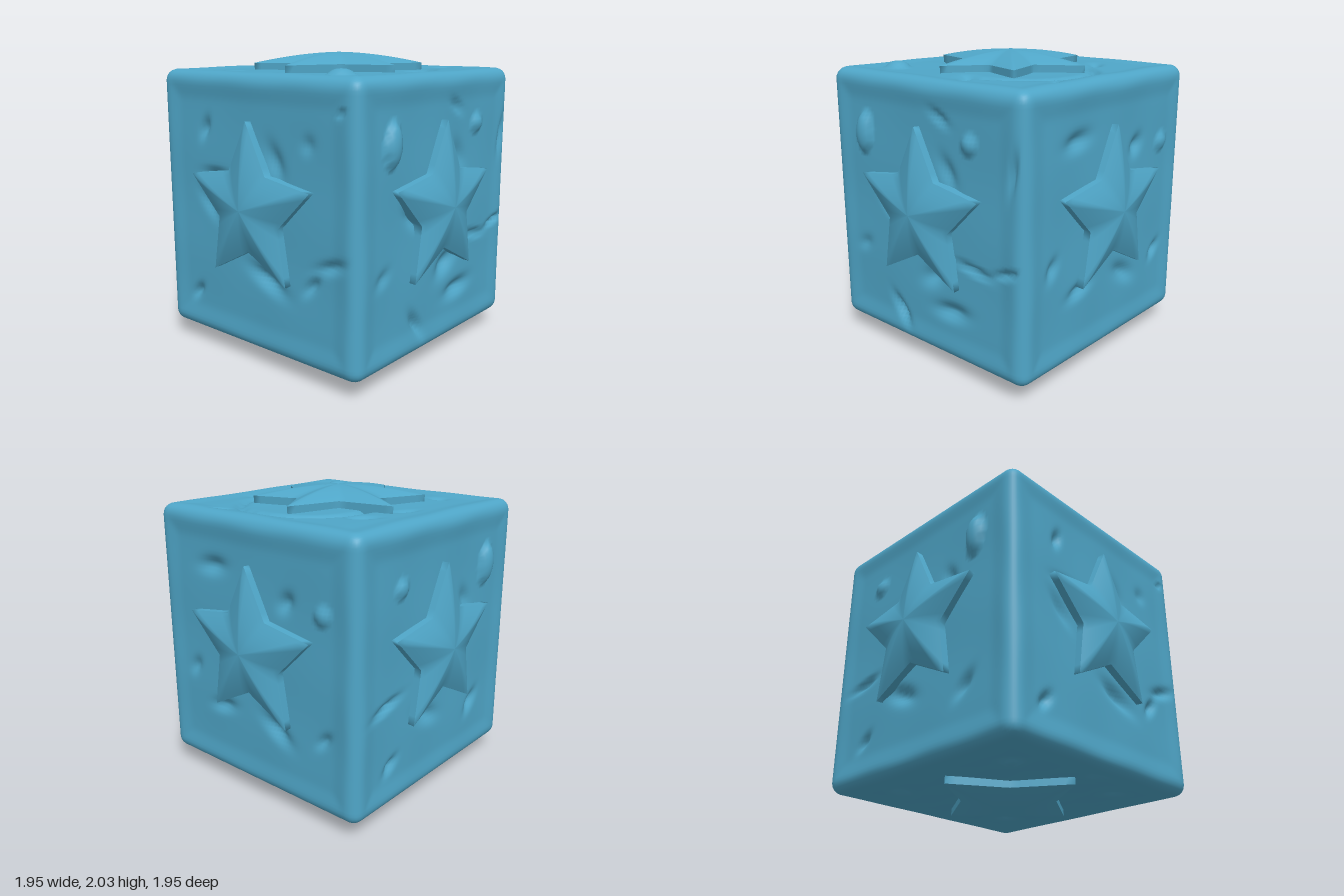
import * as THREE from 'three';
import { mergeVertices } from 'three/addons/utils/BufferGeometryUtils.js';

const HALF = new THREE.Vector3(0.862, 0.905, 0.862); // half size of the block
const CENTRE_Y = 0.985;
const ROUND = 0.08;

const polar = (r, a) => [r * Math.cos(a), r * Math.sin(a)];

// Outline of a regular star, tips and notches alternating anticlockwise
function starOutline(points, outer, inner, turn = Math.PI / 2) {
  return Array.from({ length: points * 2 }, (_, i) =>
    polar(i % 2 ? inner : outer, turn + (i * Math.PI) / points));
}

const fiveStar = starOutline(5, 0.555, 0.28);
const sixStar = [[-0.07, 0.58], [-0.18, 0.21], [-0.57, 0.15], [-0.31, -0.06], [-0.44, -0.39], [-0.16, -0.27],
  [0.06, -0.6], [0.18, -0.2], [0.56, -0.11], [0.31, 0.09], [0.42, 0.4], [0.11, 0.3]];
const fourStar = starOutline(4, 0.575, 0.32);

// Dents and bumps: [u, v, half length, half width, angle, height]
const frontMarks = [[-0.44, 0.53, 0.08, 0.04, 1.2, -0.04], [-0.58, -0.63, 0.08, 0.04, 0.8, -0.04],
  [0.65, -0.21, 0.14, 0.04, 0.3, -0.035], [0.5, -0.36, 0.09, 0.04, 0.8, -0.04], [0.12, -0.4, 0.18, 0.06, -0.4, -0.05],
  [0.2, 0.37, 0.14, 0.07, -1.1, -0.035], [-0.35, 0.23, 0.14, 0.04, 0, -0.04], [0.74, 0.7, 0.03, 0.02, 0, -0.03],
  [-0.42, 0.02, 0.14, 0.05, -0.8, -0.03], [0.48, 0.5, 0.06, 0.06, 0, -0.02]];
const rightMarks = [[-0.53, 0.5, 0.14, 0.075, 1.5, 0.055], [0.43, 0.55, 0.06, 0.06, 0, 0.035],
  [0.45, -0.23, 0.16, 0.025, -0.15, -0.04], [0.74, -0.18, 0.14, 0.025, 0.3, -0.04], [0.1, -0.36, 0.13, 0.07, 0.5, -0.05],
  [0.25, -0.57, 0.16, 0.06, 0.1, -0.05], [-0.24, -0.7, 0.13, 0.04, -0.9, -0.05], [0.18, 0.68, 0.1, 0.03, -0.5, -0.03],
  [-0.32, 0.02, 0.12, 0.05, -0.7, -0.03], [0.78, 0.45, 0.16, 0.03, 1.4, -0.04], [0.24, 0.35, 0.13, 0.06, -1, -0.03],
  [-0.6, -0.3, 0.08, 0.05, 0.5, -0.02]];
const topMarks = [[0.51, -0.58, 0.09, 0.08, 1.3, 0.045], [-0.44, -0.56, 0.06, 0.05, 0.5, -0.035],
  [-0.5, 0.36, 0.1, 0.05, 0.6, -0.035], [0.6, 0.15, 0.08, 0.05, 0.7, -0.04], [0.1, -0.45, 0.13, 0.05, 1.2, -0.05],
  [0.25, -0.3, 0.1, 0.05, 0.3, -0.04], [-0.55, 0, 0.1, 0.04, 1.2, -0.025], [0.4, 0.71, 0.06, 0.02, 0.4, -0.03]];
// Double trough sweeping round the back of the top star
for (let i = 0; i <= 12; i++) {
  const a = (i / 12) * 3.3 - 0.1;
  const [x, y] = polar(0.46, a);
  topMarks.push([0.08 + x, 0.2 + y, 0.09, 0.035, a + Math.PI / 2, -0.03]);
}
const backMarks = [[-0.35, 0.55, 0.14, 0.06, 0.1, -0.04], [0.3, 0.42, 0.08, 0.06, 0.8, -0.04],
  [0.2, -0.45, 0.15, 0.06, -0.5, -0.045], [-0.3, -0.42, 0.13, 0.05, 0.2, -0.04], [0.6, -0.4, 0.08, 0.04, 0.8, -0.035],
  [0.6, 0.4, 0.06, 0.06, 0, 0.03], [-0.58, -0.2, 0.08, 0.05, 1, -0.03]];
const leftMarks = [[0.53, 0.5, 0.14, 0.075, 1.5, 0.055], [-0.43, 0.52, 0.06, 0.06, 0, 0.03],
  [-0.55, -0.2, 0.15, 0.03, 0.2, -0.04], [-0.12, -0.4, 0.15, 0.06, -0.4, -0.045], [0.45, -0.5, 0.1, 0.05, 0.8, -0.04],
  [-0.5, -0.62, 0.08, 0.04, 0.6, -0.035], [0.3, 0.3, 0.1, 0.05, -1, -0.03]];
const bottomMarks = [[0.5, 0.5, 0.07, 0.05, 0.7, -0.035], [-0.5, 0.5, 0.07, 0.06, 0, 0.03],
  [-0.52, -0.5, 0.08, 0.05, -0.6, -0.035], [0.5, -0.5, 0.08, 0.05, 0.4, -0.035], [0.1, 0.66, 0.08, 0.04, 0, -0.03]];

// Each side of the block: u runs right and v up when seen from outside
const vec = (x, y, z) => new THREE.Vector3(x, y, z);
const sides = [
  { name: 'front', u: vec(1, 0, 0), v: vec(0, 1, 0), star: fiveStar, lift: 0.055, marks: frontMarks },
  { name: 'back', u: vec(-1, 0, 0), v: vec(0, 1, 0), star: fiveStar, lift: 0.055, marks: backMarks },
  { name: 'left', u: vec(0, 0, -1), v: vec(0, 1, 0), star: fiveStar, lift: 0.055, marks: rightMarks },
  { name: 'right', u: vec(0, 0, 1), v: vec(0, 1, 0), star: fiveStar, lift: 0.055, marks: leftMarks },
  { name: 'top', u: vec(1, 0, 0), v: vec(0, 0, -1), star: sixStar, lift: 0, marks: topMarks },
  { name: 'bottom', u: vec(1, 0, 0), v: vec(0, 0, 1), star: fourStar, lift: 0, marks: bottomMarks },
];
for (const s of sides) {
  s.n = s.u.clone().cross(s.v);
  s.depth = Math.abs(s.n.dot(HALF));
}

// Surface offset of a side at (u, v): recessed panel plus dents and bumps
function relief(side, u, v) {
  const edge = Math.min(Math.abs(side.u.dot(HALF)) - Math.abs(u), Math.abs(side.v.dot(HALF)) - Math.abs(v));
  let h = -0.012 * THREE.MathUtils.smoothstep(edge, 0.07, 0.2);
  h += 0.004 * Math.sin(7 * u + 3 * v + side.depth * 9) * Math.sin(6 * v - 4 * u);
  for (const [mu, mv, len, wid, angle, height] of side.marks) {
    const c = Math.cos(angle), s = Math.sin(angle), du = u - mu, dv = v - mv;
    const a = (du * c + dv * s) / len, b = (dv * c - du * s) / wid;
    const d = a * a + b * b;
    h += height * (height > 0 ? Math.sqrt(Math.max(0, 1 - d)) : Math.exp(-1.6 * d));
  }
  return Math.max(h, -0.06) * THREE.MathUtils.smoothstep(edge, 0.02, 0.1);
}

// Rounded block with weathered sides
function blockGeometry() {
  let geo = new THREE.BoxGeometry(HALF.x * 2, HALF.y * 2, HALF.z * 2, 72, 72, 72);
  geo.deleteAttribute('uv');
  geo.deleteAttribute('normal');
  geo = mergeVertices(geo, 1e-4);
  const pos = geo.attributes.position;
  const p = new THREE.Vector3(), core = new THREE.Vector3();
  const lo = HALF.clone().negate().addScalar(ROUND), hi = HALF.clone().subScalar(ROUND);
  for (let i = 0; i < pos.count; i++) {
    p.fromBufferAttribute(pos, i);
    const side = sides.find((s) => p.dot(s.n) > s.depth - 1e-4);
    const h = relief(side, p.dot(side.u), p.dot(side.v));
    core.copy(p).clamp(lo, hi);
    p.sub(core).setLength(ROUND).add(core).addScaledVector(side.n, h);
    pos.setXYZ(i, p.x, p.y, p.z);
  }
  geo.computeVertexNormals();
  return geo;
}

// Domed star: rings from the centre to the outline, then a steep side wall
function starGeometry(outline) {
  const STEPS = 6, RINGS = 10, rim = [];
  outline.forEach(([x, y], i) => {
    const [nx, ny] = outline[(i + 1) % outline.length];
    for (let k = 0; k < STEPS; k++) {
      rim.push([x + ((nx - x) * k) / STEPS, y + ((ny - y) * k) / STEPS]);
    }
  });
  const pos = [], index = [], n = rim.length;
  const addRing = (t, h) => rim.forEach(([x, y]) => pos.push(x * t, y * t, h));
  for (let r = 0; r <= RINGS; r++) {
    const t = r / RINGS;
    addRing(Math.max(t, 0.001), 0.036 + 0.075 * (1 - Math.pow(t, 1.7)));
  }
  addRing(1, 0.036); // repeated rim keeps the edge sharp
  addRing(0.99, -0.07);
  for (let r = 0; r < RINGS + 2; r++) {
    if (r === RINGS) continue;
    for (let j = 0; j < n; j++) {
      const a = r * n + j, b = r * n + ((j + 1) % n);
      index.push(a, a + n, b, b, a + n, b + n);
    }
  }
  const geo = new THREE.BufferGeometry();
  geo.setAttribute('position', new THREE.Float32BufferAttribute(pos, 3));
  geo.setIndex(index);
  geo.computeVertexNormals();
  return geo;
}

export function createModel() {
  const model = new THREE.Group();
  model.name = 'starBlock';
  const blue = new THREE.MeshStandardMaterial({ color: 0x4fa6c8 });
  blue.name = 'blue';

  const block = new THREE.Mesh(blockGeometry(), blue);
  block.name = 'block';
  block.position.y = CENTRE_Y;
  model.add(block);

  // One raised star on each side
  for (const s of sides) {
    const star = new THREE.Mesh(starGeometry(s.star), blue);
    star.name = s.name + 'Star';
    star.quaternion.setFromRotationMatrix(new THREE.Matrix4().makeBasis(s.u, s.v, s.n));
    star.position.set(0, CENTRE_Y, 0).addScaledVector(s.n, s.depth).addScaledVector(s.v, s.lift);
    model.add(star);
  }
  return model;
}
